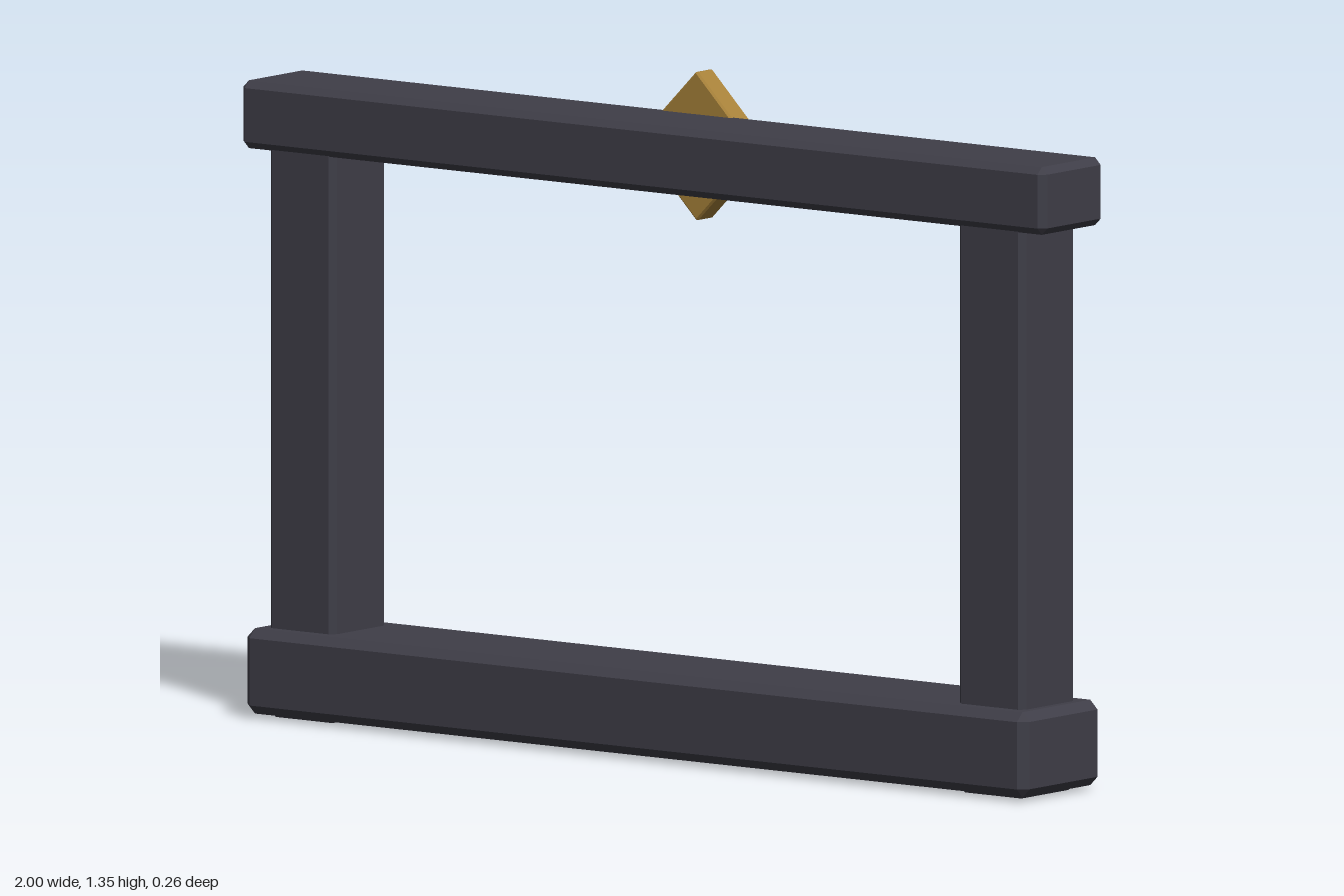
import * as THREE from 'three';
import { ConvexGeometry } from 'three/addons/geometries/ConvexGeometry.js';

const darkMetal = new THREE.MeshStandardMaterial({ color: 0x3f3e48 });
darkMetal.name = 'darkMetal';
const gold = new THREE.MeshStandardMaterial({ color: 0xa8823a });
gold.name = 'gold';

// Box with flat chamfers on every edge: three inset points per corner
function chamferBox(w, h, d, c) {
  const points = [];
  for (const sx of [-1, 1]) for (const sy of [-1, 1]) for (const sz of [-1, 1]) {
    for (let full = 0; full < 3; full++) {
      const inset = [c, c, c];
      inset[full] = 0;
      points.push(new THREE.Vector3(
        sx * (w / 2 - inset[0]), sy * (h / 2 - inset[1]), sz * (d / 2 - inset[2])));
    }
  }
  return new ConvexGeometry(points);
}

export function createModel() {
  const model = new THREE.Group();
  model.name = 'frame';

  function addBox(name, size, position, chamfer, material) {
    const mesh = new THREE.Mesh(chamferBox(...size, chamfer), material);
    mesh.name = name;
    mesh.position.set(...position);
    model.add(mesh);
    return mesh;
  }

  // Horizontal beams
  addBox('baseBeam', [1.945, 0.17, 0.255], [0, 0.093, 0], 0.018, darkMetal);
  addBox('topBeam', [2, 0.135, 0.2], [0, 1.196, 0.002], 0.014, darkMetal);

  // Upright posts, running through the base
  for (const side of [-1, 1]) {
    addBox(side > 0 ? 'leftPost' : 'rightPost',
      [0.165, 1.16, 0.175], [side * 0.857, 0.58, 0.002], 0.012, darkMetal);
  }

  // Diamond plate on the back of the top beam
  const diamond = addBox('diamondPlate', [0.212, 0.212, 0.052], [0, 1.2, -0.102], 0.004, gold);
  diamond.rotation.z = Math.PI / 4;

  return model;
}
